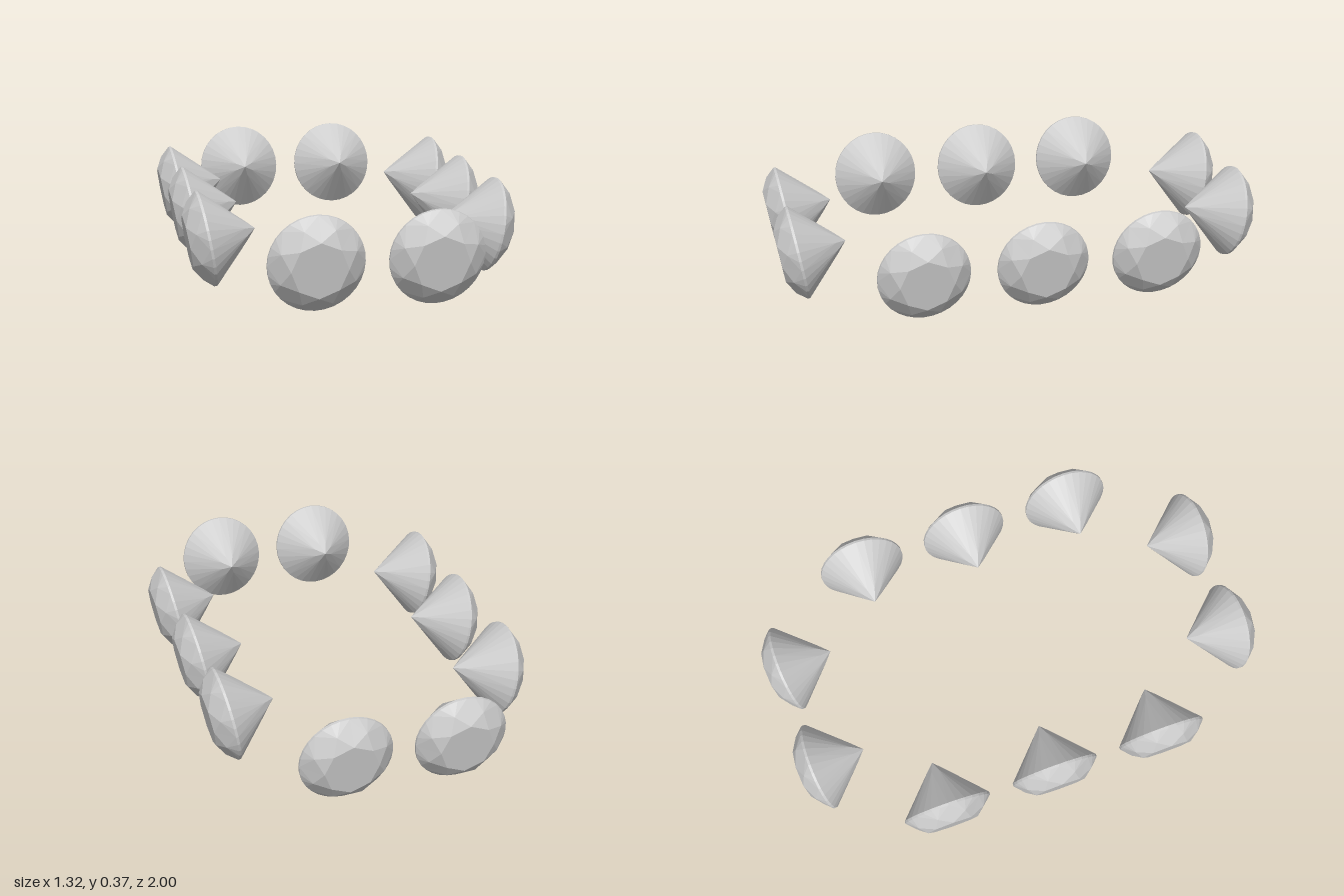
import * as THREE from 'three';

const R = 0.182;          // girdle radius
const GIRDLE = 0.005;     // half thickness of the girdle
const TABLE = 0.072;      // table height above the girdle plane
const CULET = -0.195;     // tip of the pavilion

// Round brilliant cut, axis along +z with the table facing +z
function brilliantGeometry() {
  const pos = [];
  const at = (step, r, z) => {
    const a = step * Math.PI / 4 + Math.PI / 2;
    return [r * Math.cos(a), r * Math.sin(a), z];
  };
  const fan = (...p) => {
    for (let i = 1; i < p.length - 1; i++) pos.push(...p[0], ...p[i], ...p[i + 1]);
  };
  const table = k => at(k, 0.106, TABLE);
  const star = k => at(k, 0.15, 0.0435);
  const top = k => at(k, R, GIRDLE);
  const bottom = k => at(k, R, -GIRDLE);
  const lower = k => at(k, 0.04, -0.1564);
  const culet = [0, 0, CULET];

  for (let k = 0; k < 8; k++) {
    // crown: table, star, kite and upper girdle facets
    fan([0, 0, TABLE], table(k), table(k + 1));
    fan(table(k), star(k + 0.5), table(k + 1));
    fan(table(k), star(k - 0.5), top(k), star(k + 0.5));
    fan(star(k + 0.5), top(k), top(k + 0.25), top(k + 0.5));
    fan(star(k + 0.5), top(k + 0.5), top(k + 0.75), top(k + 1));
    // girdle band
    for (let q = 0; q < 4; q++) {
      const a = k + q / 4, b = a + 0.25;
      fan(bottom(a), bottom(b), top(b), top(a));
    }
    // pavilion: main and lower girdle facets
    fan(culet, lower(k + 0.5), bottom(k), lower(k - 0.5));
    fan(lower(k + 0.5), bottom(k + 0.5), bottom(k + 0.25), bottom(k));
    fan(lower(k + 0.5), bottom(k + 1), bottom(k + 0.75), bottom(k + 0.5));
  }
  const g = new THREE.BufferGeometry();
  g.setAttribute('position', new THREE.Float32BufferAttribute(pos, 3));
  g.computeVertexNormals();
  return g;
}

export function createModel() {
  const model = new THREE.Group();
  model.name = 'gemRing';
  const geometry = brilliantGeometry();
  const material = new THREE.MeshStandardMaterial({ color: 0xcccccc, flatShading: true });
  const tilt = THREE.MathUtils.degToRad(9.5);

  // Every gem faces outward and leans slightly downward
  const addGem = (name, x, z, yaw) => {
    const gem = new THREE.Mesh(geometry, material);
    gem.name = name;
    gem.position.set(x, 0.188, z);
    gem.rotation.set(tilt, yaw, 0, 'YXZ');
    gem.scale.set(1, 1.035, 1);
    model.add(gem);
  };

  for (const side of [1, -1]) {
    const label = side > 0 ? 'Left' : 'Right';
    addGem('frontGem' + label, side * 0.227, 0.909, 0);
    addGem('backGem' + label, side * 0.227, -0.909, Math.PI);
    [0.466, -0.004, -0.47].forEach((z, i) =>
      addGem('sideGem' + label + (i + 1), side * 0.57, z, side * Math.PI / 2));
  }
  return model;
}
